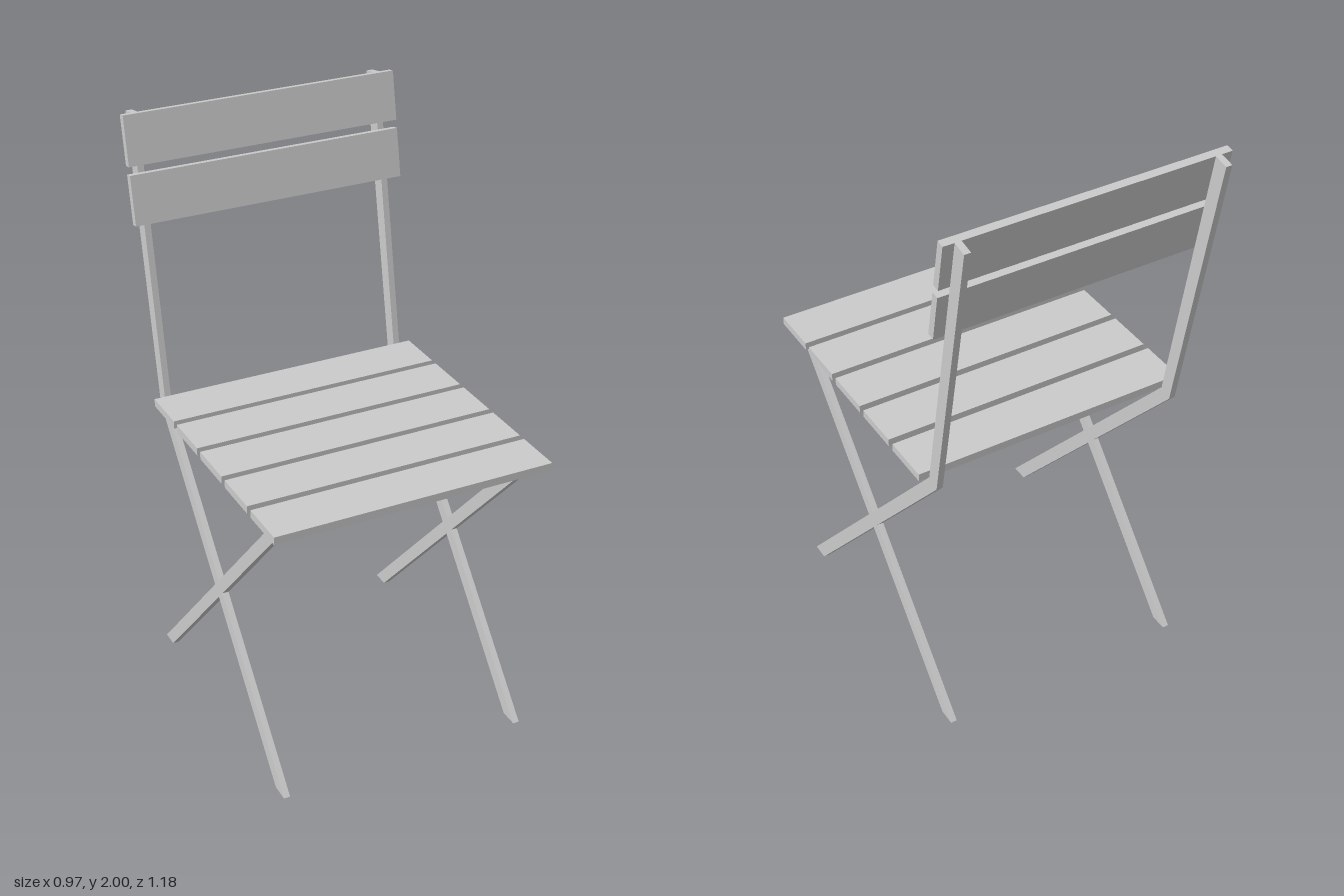
import * as THREE from 'three';

const material = new THREE.MeshStandardMaterial({ color: 0xcccccc, flatShading: true });

// Extrudes a side outline, given as [z, y] points, to a width centred on x
function sidePart(name, points, width, x = 0) {
  const shape = new THREE.Shape(points.map(([z, y]) => new THREE.Vector2(z, y)));
  const geometry = new THREE.ExtrudeGeometry(shape, { depth: width, bevelEnabled: false });
  geometry.translate(0, 0, -width / 2).rotateY(-Math.PI / 2);
  const mesh = new THREE.Mesh(geometry, material);
  mesh.name = name;
  mesh.position.x = x;
  return mesh;
}

export function createModel() {
  const chair = new THREE.Group();
  chair.name = 'foldingChair';

  const slatWidth = 0.97, barWidth = 0.022, barX = 0.436;
  const seatBottom = 1.023, seatTop = 1.05;

  // Leaning line of the backrest: a point s along it, t in front of it
  const lean = Math.atan2(0.182, 0.975);
  const sin = Math.sin(lean), cos = Math.cos(lean);
  const onBack = (s, t) => [-0.355 - s * sin + t * cos, 1.02 + s * cos + t * sin];

  // Bent bar running from the front foot up to the backrest
  const backBar = [[0.55, 0], [0.487, 0], [-0.4, 1.003], onBack(0.992, -0.052), onBack(0.992, 0), onBack(0, 0)];

  // Front leg with the seat rail
  const frontBar = [[0.55, seatBottom], [-0.402, 0], [-0.462, 0], [0.472, 1.003], [-0.34, 1.003], [-0.357, seatBottom]];

  for (const [side, sign] of [['left', 1], ['right', -1]]) {
    chair.add(sidePart(side + 'BackrestLeg', backBar, barWidth, sign * barX));
    chair.add(sidePart(side + 'SeatRailLeg', frontBar, barWidth, sign * barX));
  }

  // Five seat slats
  for (let i = 0; i < 5; i++) {
    const front = 0.592 - i * 0.195, back = front - 0.17;
    chair.add(sidePart('seatSlat' + (i + 1),
      [[front, seatBottom], [front, seatTop], [back, seatTop], [back, seatBottom]], slatWidth));
  }

  // Two backrest slats
  [0.63, 0.825].forEach((s, i) => {
    const e = s + 0.167;
    chair.add(sidePart('backrestSlat' + (i + 1),
      [onBack(s, 0), onBack(s, 0.027), onBack(e, 0.027), onBack(e, 0)], slatWidth));
  });

  return chair;
}
